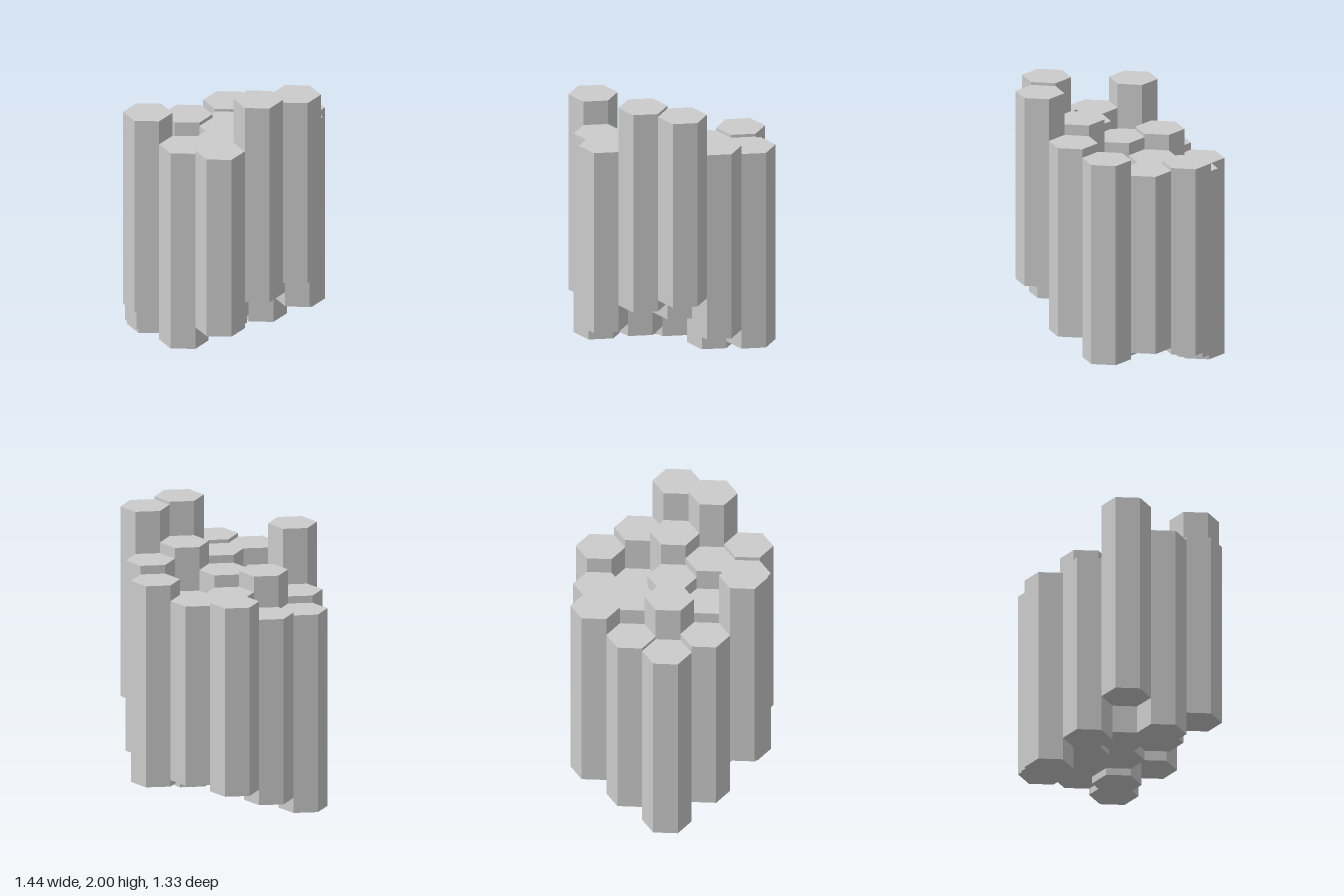
import * as THREE from 'three';

// Hexagon radius and grid spacing
const R = 1 / 6;
const DX = R * Math.sqrt(3);
const DZ = R * 1.5;

// Rows from back to front, each column [bottom, top] from -x to +x
const ROWS = [
  [[0.215, 1.535], [0.26, 1.515], [0.215, 1.625]],
  [[0.105, 1.405], [0.215, 1.515], [0.165, 1.455], [0.35, 1.685]],
  [[0, 1.385], [0.18, 1.625], [0.215, 1.6], [0.45, 1.76], [0.65, 1.98]],
  [[0.16, 1.435], [0.215, 1.51], [0.285, 1.655], [0.57, 2]],
  [[0.41, 1.825], [0.215, 1.655], [0.375, 1.68]],
];

export function createModel() {
  const group = new THREE.Group();
  group.name = 'hexagonalColumns';
  const material = new THREE.MeshStandardMaterial({ color: 0xcccccc, flatShading: true });

  // Six-sided prisms packed in a honeycomb, each shifted up or down
  ROWS.forEach((row, r) => {
    row.forEach(([bottom, top], i) => {
      const column = new THREE.Mesh(new THREE.CylinderGeometry(R, R, top - bottom, 6), material);
      column.name = `columnRow${r + 1}Number${i + 1}`;
      column.position.set((i - (row.length - 1) / 2) * DX, (bottom + top) / 2, (r - 2) * DZ);
      group.add(column);
    });
  });

  return group;
}
